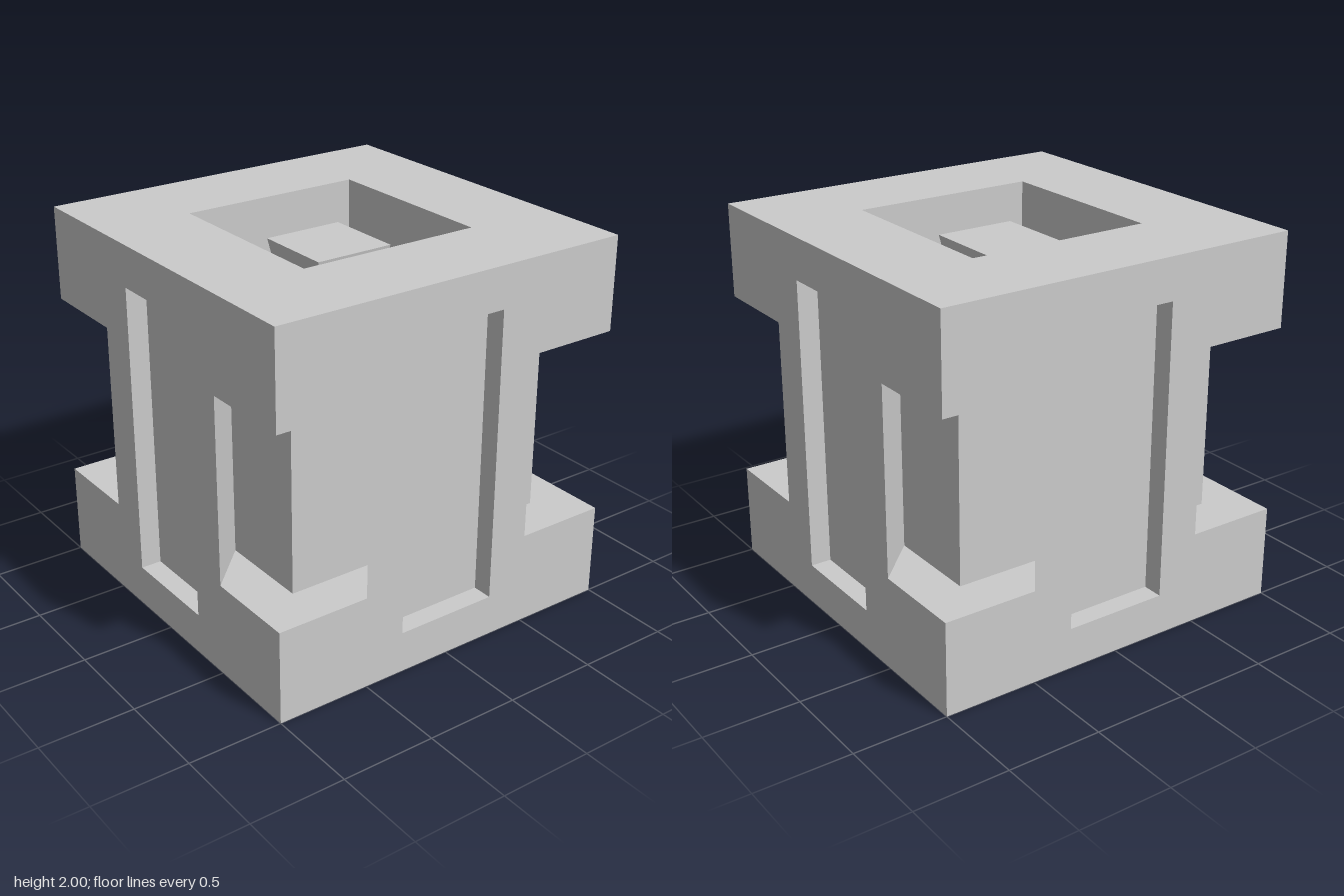
import * as THREE from 'three';

const material = new THREE.MeshStandardMaterial({ color: 0xcccccc, flatShading: true });

function add(parent, name, geometry) {
  const mesh = new THREE.Mesh(geometry, material);
  mesh.name = name;
  parent.add(mesh);
  return mesh;
}

const shapeOf = (points) => new THREE.Shape(points.map(([x, y]) => new THREE.Vector2(x, y)));

const rectangle = (w, h) =>
  shapeOf([[-w / 2, -h / 2], [w / 2, -h / 2], [w / 2, h / 2], [-w / 2, h / 2]]);

// Flat panel facing +z, pierced by a centred rectangular opening
function panel(outline, w, h) {
  const shape = shapeOf(outline);
  shape.holes.push(rectangle(w, h));
  return new THREE.ShapeGeometry(shape);
}

// Inward-facing box, open towards +z, with its rim at z = 0
function recess(w, h, depth) {
  const geometry = new THREE.BoxGeometry(w, h, depth);
  geometry.setIndex(Array.from(geometry.index.array).slice(0, 30));
  geometry.clearGroups();
  geometry.scale(1, 1, -1); // mirroring turns the box inside out
  geometry.computeVertexNormals();
  return geometry.translate(0, 0, -depth / 2);
}

// Vertical walls along a path of [x, z] points
function walls(path, y0, y1) {
  const positions = [];
  for (let i = 0; i < path.length - 1; i++) {
    const [ax, az] = path[i];
    const [bx, bz] = path[i + 1];
    positions.push(ax, y0, az, bx, y0, bz, bx, y1, bz);
    positions.push(ax, y0, az, bx, y1, bz, ax, y1, az);
  }
  const geometry = new THREE.BufferGeometry();
  geometry.setAttribute('position', new THREE.Float32BufferAttribute(positions, 3));
  geometry.computeVertexNormals();
  return geometry;
}

export function createModel() {
  const model = new THREE.Group();
  model.name = 'notchedCube';

  // Side panel outline, cut away at mid height on both edges
  const sideOutline = [
    [-1, -1], [1, -1], [1, -0.5], [0.5, -0.5], [0.5, 0.5], [1, 0.5],
    [1, 1], [-1, 1], [-1, 0.5], [-0.5, 0.5], [-0.5, -0.5], [-1, -0.5],
  ];
  const sidePanel = panel(sideOutline, 0.56, 1.56).translate(0, 1, 1);
  const sidePocket = recess(0.56, 1.56, 0.11).translate(0, 1, 1);

  // Undercut corner notch around a square post, as [x, z]
  const notchPath = [[0.5, 1], [0.26, 0.76], [0.76, 0.76], [0.76, 0.26], [1, 0.5]];
  const notchPlan = [...notchPath, [1, 1]];
  const notchWalls = walls(notchPath, 0.5, 1.5);
  const notchFloor = new THREE.ShapeGeometry(shapeOf(notchPlan.map(([x, z]) => [x, -z])))
    .rotateX(-Math.PI / 2).translate(0, 0.5, 0);
  const notchCeiling = new THREE.ShapeGeometry(shapeOf(notchPlan))
    .rotateX(Math.PI / 2).translate(0, 1.5, 0);

  // Four identical sides, each with the corner to its right
  ['front', 'left', 'back', 'right'].forEach((side, i) => {
    const group = new THREE.Group();
    group.name = side + 'Side';
    group.rotation.y = i * Math.PI / 2;
    add(group, 'sidePanel', sidePanel);
    add(group, 'sidePocket', sidePocket);
    add(group, 'cornerPost', notchWalls);
    add(group, 'notchFloor', notchFloor);
    add(group, 'notchCeiling', notchCeiling);
    model.add(group);
  });

  // Top and bottom faces, each with a square well
  const square = [[-1, -1], [1, -1], [1, 1], [-1, 1]];
  const capPanel = panel(square, 1, 1).translate(0, 0, 1);
  const capWell = recess(1, 1, 0.39).translate(0, 0, 1);
  for (const [name, turn] of [['top', -1], ['bottom', 1]]) {
    const group = new THREE.Group();
    group.name = name + 'Face';
    group.position.y = 1;
    group.rotation.x = turn * Math.PI / 2;
    add(group, name + 'Panel', capPanel);
    add(group, name + 'Well', capWell);
    model.add(group);
  }

  // Square stud in the top well, narrowing downwards
  const stud = new THREE.CylinderGeometry(0.22 * Math.SQRT2, 0.17 * Math.SQRT2, 0.28, 4);
  add(model, 'stud', stud.rotateY(Math.PI / 4).translate(0, 1.75, 0));

  return model;
}
